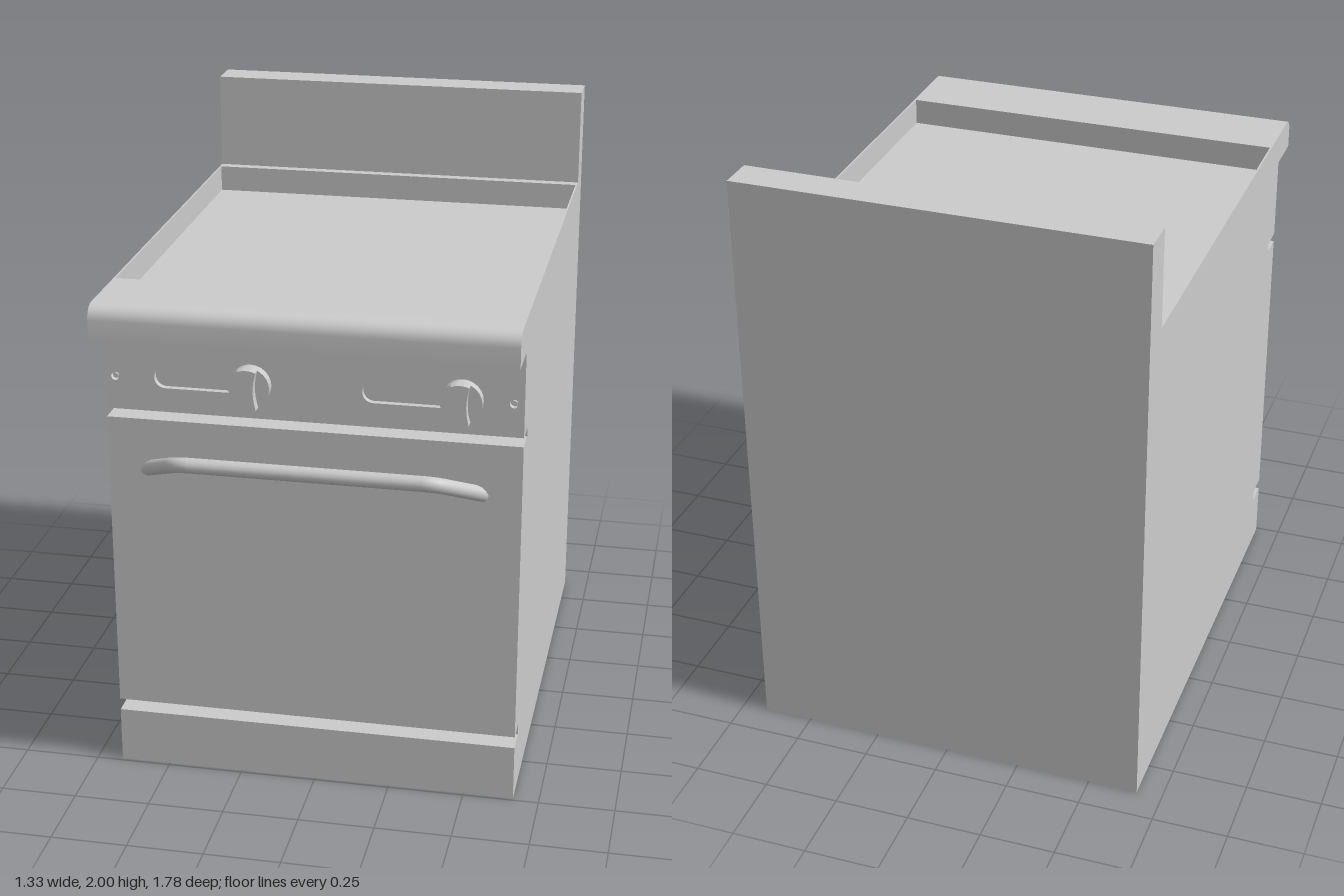
import * as THREE from 'three';
import { toCreasedNormals } from 'three/addons/utils/BufferGeometryUtils.js';

const HALF = 0.665; // half width of the range
const FRONT = 0.74; // z of the front panels
const material = new THREE.MeshStandardMaterial({ color: 0xcccccc });

export function createModel() {
  const range = new THREE.Group();
  range.name = 'range';

  const add = (name, geometry, x = 0, y = 0, z = 0, parent = range) => {
    const mesh = new THREE.Mesh(geometry, material);
    mesh.name = name;
    mesh.position.set(x, y, z);
    parent.add(mesh);
    return mesh;
  };

  // Extrudes a side profile of [z, y] points across a width centred on x = 0
  const sideExtrude = (points, halfWidth) => {
    const shape = new THREE.Shape(points.map(([z, y]) => new THREE.Vector2(-z, y)));
    const g = new THREE.ExtrudeGeometry(shape, { depth: halfWidth * 2, bevelEnabled: false });
    g.translate(0, 0, -halfWidth).rotateY(Math.PI / 2);
    return toCreasedNormals(g, 0.6);
  };

  // Front panel slab between two heights
  const slab = (name, y0, y1, z0, z1) =>
    add(name, new THREE.BoxGeometry(HALF * 2, y1 - y0, z1 - z0), 0, (y0 + y1) / 2, (z0 + z1) / 2);

  // Body with sunken cooktop and backsplash, closed by thin side sheets
  const sheet = 0.006;
  add('body', sideExtrude([
    [0.65, 0], [0.65, 1.67], [0.61, 1.67], [0.61, 1.58], [-0.735, 1.58],
    [-0.735, 1.67], [-0.77, 1.67], [-0.77, 2], [-0.89, 2], [-0.89, 0],
  ], HALF - sheet));
  for (const side of [-1, 1]) {
    const panel = add('sidePanel', sideExtrude([
      [0.65, 0], [0.65, 1.67], [-0.77, 1.67], [-0.77, 2], [-0.89, 2], [-0.89, 0],
    ], sheet / 2));
    panel.position.x = side * (HALF - sheet / 2);
  }

  // Front ledge with a rounded nose
  const nose = [];
  for (let i = 0; i <= 6; i++) {
    const a = (i / 6) * Math.PI / 2;
    nose.push([0.845 + 0.045 * Math.sin(a), 1.625 + 0.045 * Math.cos(a)]);
  }
  add('frontLedge', sideExtrude([[0.65, 1.56], [0.65, 1.67], ...nose, [0.89, 1.56]], HALF));

  // Kick panel and oven door
  slab('kickPanel', 0, 0.19, 0.65, FRONT);
  slab('ovenDoor', 0.23, 1.25, 0.65, FRONT);

  // Control panel with slots and screw holes in its front layer
  const inset = 0.02;
  const knobY = 1.395;
  const knobXs = [-0.192, 0.473];
  slab('controlPanelBack', 1.28, 1.56, 0.65, FRONT - inset);
  const face = new THREE.Shape([
    new THREE.Vector2(-HALF, 1.28), new THREE.Vector2(HALF, 1.28),
    new THREE.Vector2(HALF, 1.56), new THREE.Vector2(-HALF, 1.56),
  ]);
  for (const x of knobXs) {
    const slot = new THREE.Path();
    slot.absarc(x - 0.278, knobY, 0.035, Math.PI / 2, Math.PI * 1.5);
    slot.absarc(x, knobY, 0.035, -Math.PI / 2, Math.PI / 2);
    slot.closePath();
    face.holes.push(slot);
  }
  for (const x of [-0.632, 0.632]) {
    const hole = new THREE.Path();
    hole.absarc(x, 1.39, 0.014, 0, Math.PI * 2);
    face.holes.push(hole);
    const screw = new THREE.CylinderGeometry(0.009, 0.009, 0.015, 6).rotateX(Math.PI / 2);
    add('screw', screw, x, 1.39, FRONT - 0.0125);
  }
  add('controlPanelFace', toCreasedNormals(new THREE.ExtrudeGeometry(face,
    { depth: inset, bevelEnabled: false, curveSegments: 12 }), 0.6), 0, 0, FRONT - inset);

  // Knobs: shaft, round base and a waisted grip
  const grip = new THREE.Shape();
  grip.moveTo(-0.03, -0.062);
  grip.quadraticCurveTo(0, -0.074, 0.03, -0.062);
  grip.quadraticCurveTo(0.012, 0, 0.03, 0.062);
  grip.quadraticCurveTo(0, 0.074, -0.03, 0.062);
  grip.quadraticCurveTo(-0.012, 0, -0.03, -0.062);
  const gripGeometry = toCreasedNormals(new THREE.ExtrudeGeometry(grip,
    { depth: 0.035, bevelEnabled: false, curveSegments: 8 }), 0.6);
  for (const x of knobXs) {
    const knob = new THREE.Group();
    knob.name = 'knob';
    knob.position.set(x, knobY, FRONT);
    range.add(knob);
    const disc = (r, h) => new THREE.CylinderGeometry(r, r, h, 24).rotateX(Math.PI / 2);
    add('knobShaft', disc(0.03, 0.03), 0, 0, -0.005, knob);
    add('knobBase', disc(0.066, 0.032), 0, 0, 0.02, knob);
    add('knobGrip', gripGeometry, 0, 0, 0.033, knob);
  }

  // Door handle: a bar with bent arms reaching out and up from the door
  const P = (x, y, z) => new THREE.Vector3(x, y, z);
  const path = new THREE.CurvePath();
  path.add(new THREE.LineCurve3(P(-0.55, 1.07, 0.715), P(-0.43, 1.138, 0.83)));
  path.add(new THREE.QuadraticBezierCurve3(P(-0.43, 1.138, 0.83), P(-0.405, 1.15, 0.85), P(-0.37, 1.15, 0.85)));
  path.add(new THREE.LineCurve3(P(-0.37, 1.15, 0.85), P(0.37, 1.15, 0.85)));
  path.add(new THREE.QuadraticBezierCurve3(P(0.37, 1.15, 0.85), P(0.405, 1.15, 0.85), P(0.43, 1.138, 0.83)));
  path.add(new THREE.LineCurve3(P(0.43, 1.138, 0.83), P(0.55, 1.07, 0.715)));
  add('doorHandle', new THREE.TubeGeometry(path, 80, 0.025, 14));

  return range;
}
